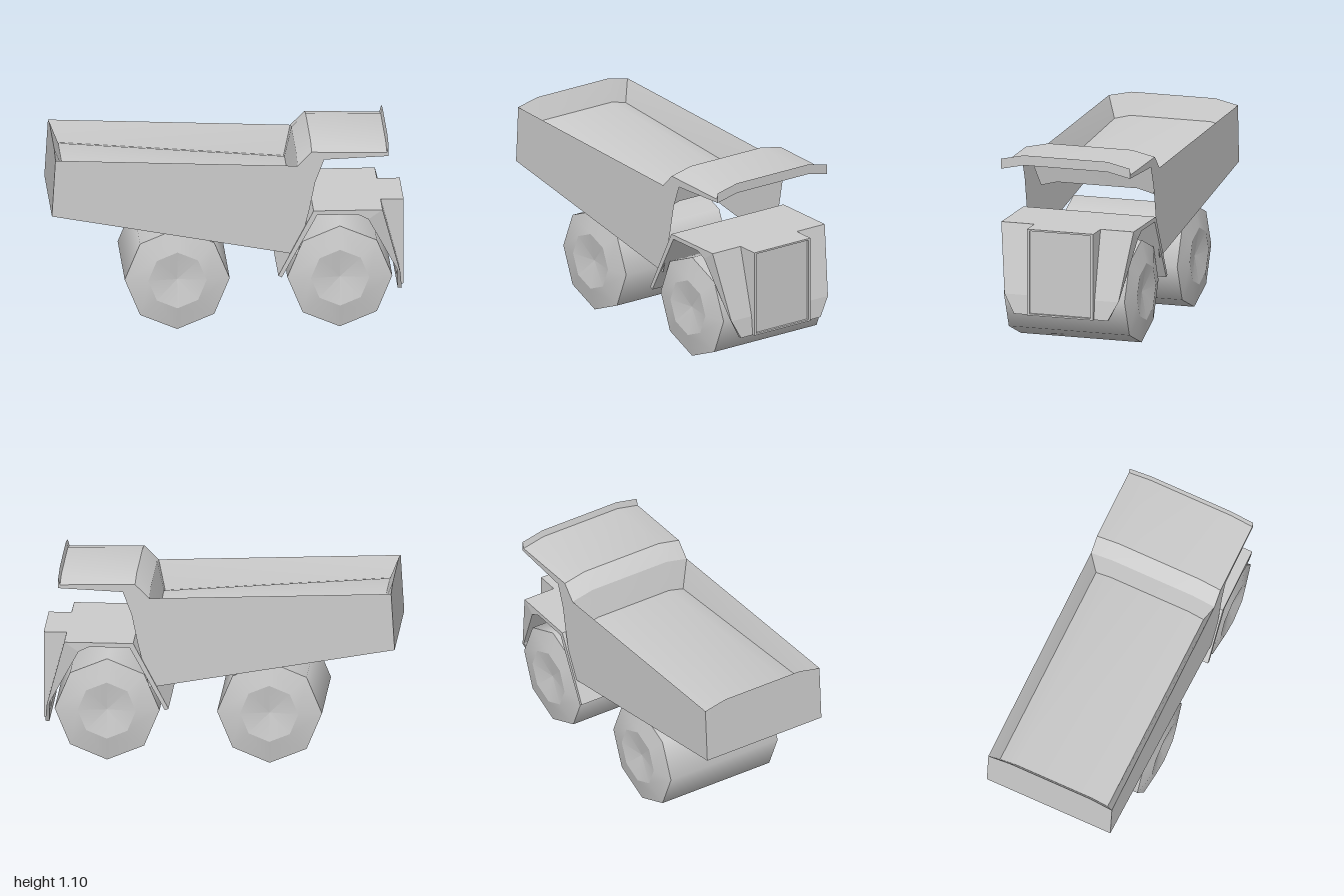
import * as THREE from 'three';
import { toCreasedNormals } from 'three/addons/utils/BufferGeometryUtils.js';

const material = new THREE.MeshStandardMaterial({ color: 0xcccccc });
const sheet = new THREE.MeshStandardMaterial({ color: 0xcccccc, side: THREE.DoubleSide });

function add(parent, name, geometry, surface = material) {
  const mesh = new THREE.Mesh(geometry, surface);
  mesh.name = name;
  parent.add(mesh);
  return mesh;
}

// Skin lofted through rows of points, smooth over gentle bends only
function loft(rows) {
  const positions = [];
  for (let i = 0; i < rows.length - 1; i++) {
    for (let j = 0; j < rows[i].length - 1; j++) {
      const a = rows[i][j], b = rows[i][j + 1];
      const c = rows[i + 1][j + 1], d = rows[i + 1][j];
      positions.push(...a, ...b, ...c, ...a, ...c, ...d);
    }
  }
  const geometry = new THREE.BufferGeometry();
  geometry.setAttribute('position', new THREE.Float32BufferAttribute(positions, 3));
  return toCreasedNormals(geometry, 0.4);
}

// Row across the truck, raised by `rise` in the middle
const row = ([x, y, w = 0.385, rise = 0.03]) => {
  const inner = w === 0.385 ? 0.25 : 0.24;
  return [[x, y, -w], [x, y + rise, -inner], [x, y + rise, inner], [x, y, w]];
};

const shapeOf = (points) => new THREE.Shape(points.map(([x, y]) => new THREE.Vector2(x, y)));

// Side profile extruded across the truck
function across(points, halfWidth) {
  return new THREE.ExtrudeGeometry(shapeOf(points), { depth: halfWidth * 2, bevelEnabled: false })
    .translate(0, 0, -halfWidth);
}

function buildBed() {
  const bed = new THREE.Group();
  bed.name = 'dumpBed';

  // Tailgate, raised floor, headboard and canopy in one continuous skin, open below
  add(bed, 'bedInteriorAndCanopy', loft([
    [-1, 0.69, 0.385, 0], [-0.98, 1.02], [-0.93, 0.9, 0.335, 0.025], [0.35, 0.8, 0.335, 0.025],
    [0.39, 0.965], [0.47, 1.045], [0.895, 1.035], [0.905, 1.073],
    [0.905, 1.015], [0.54, 1.0], [0.39, 0.965],
  ].map(row)), sheet);

  // Side walls: flat outside, sloping inside
  const outline = shapeOf([
    [-1, 0.69], [0.39, 0.44], [0.43, 0.6], [0.455, 0.7], [0.49, 0.87], [0.54, 1.0],
    [0.905, 1.015], [0.905, 1.073], [0.895, 1.035], [0.47, 1.045], [0.39, 0.965], [-0.98, 1.02],
  ]);
  for (const [name, s] of [['left', 1], ['right', -1]]) {
    add(bed, name + 'OuterWall', new THREE.ShapeGeometry(outline).translate(0, 0, s * 0.385), sheet);
    add(bed, name + 'InnerWall', loft([
      [[-0.93, 0.9, s * 0.335], [0.35, 0.8, s * 0.335]],
      [[-0.98, 1.02, s * 0.385], [0.39, 0.965, s * 0.385]],
    ]), sheet);
  }
  return bed;
}

function buildCab() {
  const cab = new THREE.Group();
  cab.name = 'cab';

  // Roof, mudguard and front legs; the front narrows towards the bottom
  const fender = across([
    [0.28, 0.32], [0.3, 0.31], [0.5, 0.675], [0.73, 0.675], [0.79, 0.645], [0.958, 0.325],
    [0.962, 0.2], [0.985, 0.2], [0.974, 0.31], [0.87, 0.7], [0.48, 0.7],
  ], 0.395);
  const p = fender.attributes.position;
  for (let i = 0; i < p.count; i++) {
    if (p.getX(i) < 0.9) continue;
    const y = p.getY(i);
    const halfWidth = y < 0.31 ? 0.28 + (y - 0.2) * 0.55 : 0.34 + (y - 0.31) * 0.14;
    p.setZ(i, Math.sign(p.getZ(i)) * halfWidth);
  }
  fender.computeVertexNormals();
  add(cab, 'fenderAndRoof', fender);

  // Radiator housing with a recessed panel
  add(cab, 'radiatorHousing', across([[0.87, 0.7], [0.97, 0.2], [0.985, 0.2], [0.985, 0.7]], 0.198));
  const frame = shapeOf([[-0.198, 0.2], [0.198, 0.2], [0.198, 0.7], [-0.198, 0.7]]);
  frame.holes.push(new THREE.Path(
    [[-0.183, 0.21], [-0.183, 0.69], [0.183, 0.69], [0.183, 0.21]].map(([x, y]) => new THREE.Vector2(x, y))));
  add(cab, 'radiatorFrame', new THREE.ExtrudeGeometry(frame, { depth: 0.015, bevelEnabled: false })
    .rotateY(Math.PI / 2).translate(0.985, 0, 0));
  return cab;
}

// Full-width eight-sided rollers with dished hubs; each band is its own smooth ring
function buildWheel(name, x) {
  const wheel = new THREE.Group();
  wheel.name = name;
  const profile = [[0, -0.362], [0.165, -0.39], [0.297, -0.36], [0.297, 0.36], [0.165, 0.39], [0, 0.362]]
    .map(([r, z]) => new THREE.Vector2(r, z));
  ['rightHub', 'rightRim', 'tread', 'leftRim', 'leftHub'].forEach((part, i) => {
    add(wheel, part, new THREE.LatheGeometry(profile.slice(i, i + 2), 8).rotateX(Math.PI / 2));
  });
  wheel.position.set(x, 0.3, 0);
  return wheel;
}

export function createModel() {
  const truck = new THREE.Group();
  truck.name = 'dumpTruck';
  truck.add(buildBed(), buildCab(), buildWheel('rearWheels', -0.29), buildWheel('frontWheels', 0.63));
  return truck;
}
